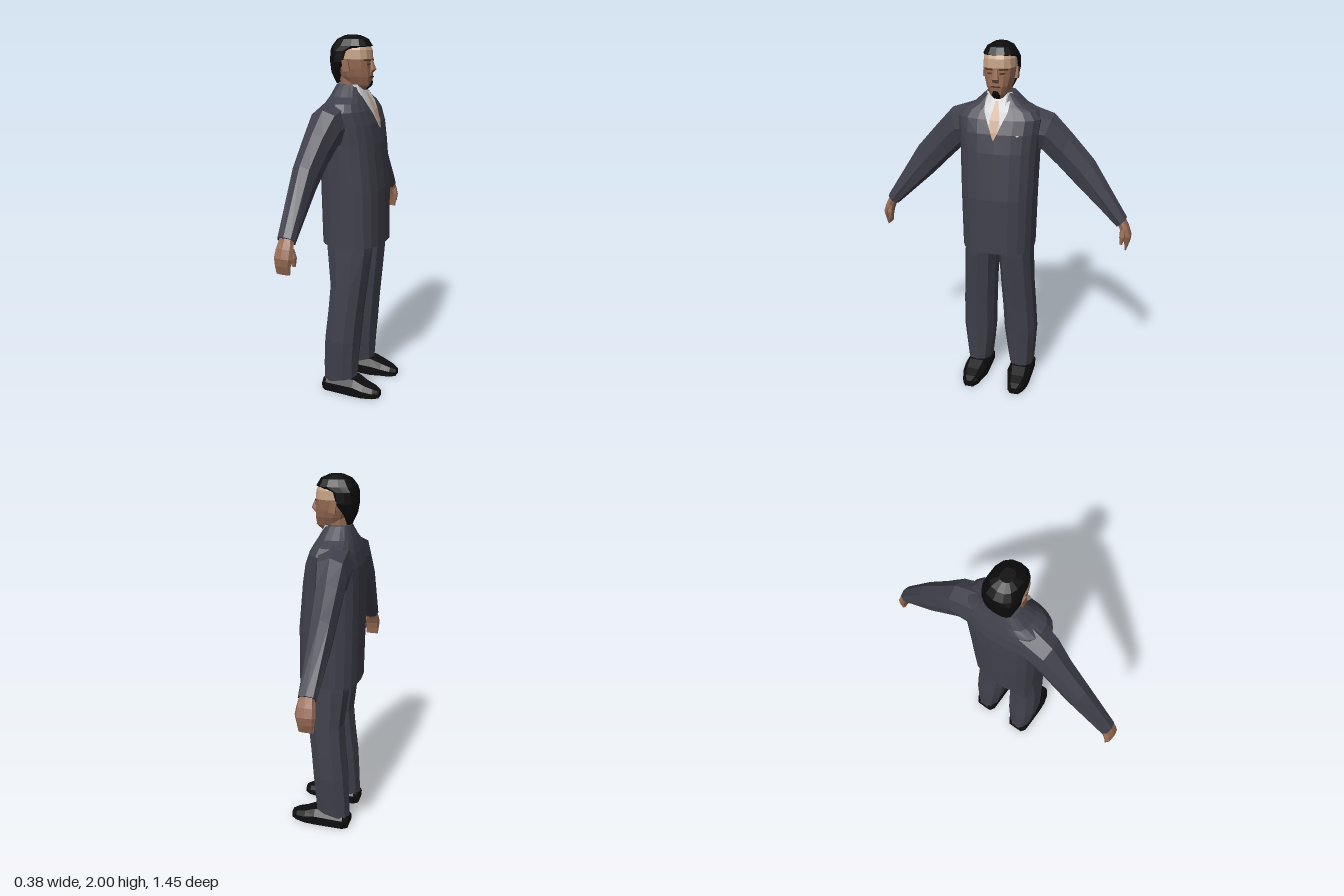
import * as THREE from 'three';

const mat = (name, color) => {
  const m = new THREE.MeshStandardMaterial({ color });
  m.name = name;
  return m;
};

// flat-shaded mesh from a list of triangle corner points
function facets(name, pts, material) {
  const g = new THREE.BufferGeometry().setFromPoints(pts);
  g.computeVertexNormals();
  const mesh = new THREE.Mesh(g, material);
  mesh.name = name;
  return mesh;
}

// closed body through rings of equal point count; corners are ordered outward by signed volume
function loft(name, rings, material) {
  const tris = [], n = rings[0].length;
  for (let i = 0; i < rings.length - 1; i++)
    for (let j = 0; j < n; j++) {
      const k = (j + 1) % n, [a, b] = [rings[i], rings[i + 1]];
      tris.push([a[j], b[j], b[k]], [a[j], b[k], a[k]]);
    }
  const centre = r => r.reduce((s, p) => s.add(p), new THREE.Vector3()).divideScalar(n);
  const first = rings[0], last = rings[rings.length - 1], c0 = centre(first), c1 = centre(last);
  for (let j = 0; j < n; j++) {
    const k = (j + 1) % n;
    tris.push([c0, first[j], first[k]], [c1, last[k], last[j]]);
  }
  const volume = tris.reduce((s, [a, b, c]) => s + a.clone().sub(c0).dot(b.clone().sub(c0).cross(c.clone().sub(c0))), 0);
  return facets(name, tris.flatMap(t => (volume < 0 ? [t[0], t[2], t[1]] : t)), material);
}

const pow = (v, e) => Math.sign(v) * Math.abs(v) ** e;

// horizontal ring from back x, front x and a z range; tilt lifts the front edge
function ring([y, xb, xf, z0, z1, tilt = 0], n, e) {
  return Array.from({ length: n }, (_, i) => {
    const t = (i / n) * Math.PI * 2, c = pow(Math.cos(t), e), s = pow(Math.sin(t), e);
    return new THREE.Vector3((xb + xf) / 2 + c * (xf - xb) / 2, y + tilt * (c + 1) / 2, (z0 + z1) / 2 + s * (z1 - z0) / 2);
  });
}
const body = (name, rows, material, n, e) =>
  loft(name, rows.map(([y, b, f, w]) => ring([y, b, f, -w, w], n, e)), material);

// limb ring from its upper and lower edge point (z, y) and an x range
function limbRing([zt, yt, zb, yb, x0, x1], side, n = 8) {
  return Array.from({ length: n }, (_, i) => {
    const t = (i / n) * Math.PI * 2, c = pow(Math.cos(t), 0.8) / 2, s = pow(Math.sin(t), 0.8) / 2;
    return new THREE.Vector3((x0 + x1) / 2 + s * (x1 - x0), (yt + yb) / 2 + c * (yt - yb), side * ((zt + zb) / 2 + c * (zt - zb)));
  });
}

// x of the front surface of a body at a given y and z
function frontX(rows, e, y, z) {
  let i = 0;
  while (i < rows.length - 2 && rows[i + 1][0] < y) i++;
  const a = rows[i], b = rows[i + 1], t = (y - a[0]) / (b[0] - a[0]);
  const [, back, front, w] = a.map((v, k) => v + (b[k] - v) * t);
  const r = Math.min(1, Math.abs(z) / w);
  return (back + front) / 2 + (front - back) / 2 * (1 - r ** (2 / e)) ** (e / 2);
}

// thin painted panel lying on the front of a body; rows are [y, zMin, zMax], bottom to top
function panel(name, rows, material, on, e, lift, cols = 6) {
  const grid = rows.map(([y, z0, z1]) => Array.from({ length: cols + 1 }, (_, i) => {
    const z = z1 + (z0 - z1) * i / cols;
    return new THREE.Vector3(frontX(on, e, y, z) + lift, y, z);
  }));
  const pts = [];
  for (let i = 0; i < grid.length - 1; i++)
    for (let j = 0; j < cols; j++) {
      const a = grid[i][j], b = grid[i][j + 1], c = grid[i + 1][j + 1], d = grid[i + 1][j];
      pts.push(a, b, c, a, c, d);
    }
  return facets(name, pts, material);
}

export function createModel() {
  const model = new THREE.Group();
  model.name = 'manInSuit';
  const suit = mat('suit charcoal', 0x40404c);
  const skin = mat('skin', 0x966a53);
  const lightSkin = mat('light skin', 0xc4a084);
  const shirt = mat('shirt', 0xc4c4c6);
  const black = mat('hair black', 0x0b0b0b);
  const shoeBlack = mat('shoe black', 0x0d0d0f);
  const dark = mat('feature brown', 0x4d3328);
  const add = (...m) => model.add(...m);

  // jacket: y, back, front, half width
  const jacket = [
    [0.89, -0.185, 0.155, 0.2], [1.2, -0.19, 0.152, 0.206], [1.45, -0.19, 0.127, 0.213],
    [1.55, -0.183, 0.11, 0.222], [1.62, -0.166, 0.084, 0.23], [1.66, -0.152, 0.062, 0.2],
    [1.69, -0.142, 0.045, 0.14], [1.75, -0.118, 0.012, 0.075],
  ];
  add(body('jacket', jacket, suit, 20, 0.75));

  // shirt opening, open chest and pocket square
  const onChest = (name, rows, m, lift) => panel(name, rows, m, jacket, 0.75, lift);
  add(onChest('shirtFront', [[1.53, -0.005, 0.005], [1.6, -0.036, 0.036], [1.66, -0.062, 0.062],
    [1.69, -0.065, 0.065], [1.75, -0.068, 0.068]], shirt, 0.005));
  add(onChest('openChest', [[1.525, -0.004, 0.004], [1.56, -0.017, 0.017], [1.62, -0.027, 0.027],
    [1.66, -0.018, 0.018], [1.71, -0.006, 0.006]], lightSkin, 0.009));
  add(onChest('pocketSquare', [[1.545, -0.127, -0.118], [1.553, -0.132, -0.112]], shirt, 0.006));

  // neck and head
  add(loft('neck', [ring([1.66, -0.1, 0.01, -0.058, 0.058], 10, 0.9), ring([1.74, -0.105, 0.012, -0.054, 0.054], 10, 0.9),
    ring([1.82, -0.11, 0.02, -0.056, 0.056], 10, 0.9)], skin));
  const face = [
    [1.712, -0.035, 0.025, 0.025], [1.745, -0.075, 0.066, 0.046], [1.79, -0.1, 0.072, 0.068],
    [1.83, -0.12, 0.07, 0.08], [1.88, -0.13, 0.07, 0.086],
  ];
  add(body('face', face, skin, 14, 0.85));
  add(body('forehead', [[1.88, -0.13, 0.07, 0.086], [1.925, -0.13, 0.066, 0.084], [1.965, -0.1, 0.045, 0.065]],
    lightSkin, 14, 0.85));
  add(body('hair', [
    [1.755, -0.12, -0.1, 0.045], [1.81, -0.145, -0.078, 0.074], [1.865, -0.156, -0.012, 0.09],
    [1.92, -0.153, 0.0, 0.092], [1.945, -0.147, 0.067, 0.088], [1.98, -0.118, 0.045, 0.068],
    [2.0, -0.075, 0.0, 0.032],
  ], black, 14, 0.85));

  // face details
  const onFace = (name, rows, m, lift = 0.004) => panel(name, rows, m, face, 0.85, lift);
  add(onFace('goatee', [[1.722, -0.016, 0.016], [1.745, -0.022, 0.022], [1.768, -0.012, 0.012]], black, 0.005));
  add(onFace('mouth', [[1.785, -0.026, 0.026], [1.793, -0.022, 0.022]], dark));
  for (const s of [-1, 1]) {
    const span = (y, a, b) => [y, Math.min(s * a, s * b), Math.max(s * a, s * b)];
    add(onFace('brow', [span(1.871, 0.016, 0.062), span(1.879, 0.016, 0.06)], dark));
    add(onFace('eye', [span(1.851, 0.022, 0.044), span(1.859, 0.02, 0.046)], dark));
    const ear = new THREE.Mesh(new THREE.BoxGeometry(0.035, 0.06, 0.016), skin);
    ear.name = 'ear';
    ear.position.set(-0.04, 1.848, s * 0.084);
    ear.rotation.z = 0.15;
    add(ear);
  }
  add(loft('nose', [[1.808, 0.06, 0.075, 0.018], [1.828, 0.06, 0.097, 0.019], [1.875, 0.06, 0.076, 0.009]]
    .map(([y, b, f, w]) => ring([y, b, f, -w, w], 6, 1)), skin));

  for (const s of [-1, 1]) {
    const side = s < 0 ? 'left' : 'right';
    const limb = (name, rows, m) => add(loft(side + name, rows.map(r => limbRing(r, s)), m));

    // sleeve and hand
    limb('Sleeve', [
      [0.13, 1.69, 0.15, 1.42, -0.165, 0.04], [0.28, 1.637, 0.217, 1.435, -0.165, 0.005],
      [0.375, 1.535, 0.305, 1.35, -0.16, -0.02], [0.5, 1.395, 0.415, 1.24, -0.155, -0.035],
      [0.695, 1.09, 0.64, 1.035, -0.132, -0.038],
    ], suit);
    limb('Hand', [
      [0.685, 1.09, 0.645, 1.05, -0.122, -0.045], [0.712, 1.035, 0.664, 1.015, -0.132, -0.036],
      [0.727, 0.99, 0.68, 0.98, -0.135, -0.035], [0.722, 0.95, 0.69, 0.94, -0.13, -0.045],
      [0.707, 0.905, 0.696, 0.905, -0.125, -0.05],
    ], skin);
    limb('Thumb', [
      [0.69, 1.04, 0.665, 1.02, -0.07, -0.036], [0.695, 0.99, 0.665, 0.985, -0.055, -0.026],
      [0.685, 0.945, 0.67, 0.945, -0.052, -0.032],
    ], skin);

    // trouser leg: y, back, front, inner z, outer z, hem tilt
    add(loft(side + 'TrouserLeg', [
      [0.96, -0.145, 0.12, 0.0, 0.188], [0.86, -0.142, 0.117, 0.004, 0.192], [0.65, -0.117, 0.09, 0.016, 0.203],
      [0.5, -0.128, 0.072, 0.024, 0.212], [0.33, -0.147, 0.057, 0.03, 0.22], [0.18, -0.156, 0.047, 0.046, 0.21, 0.02],
      [0.05, -0.16, 0.042, 0.062, 0.2, 0.05],
    ].map(([y, b, f, z0, z1, t]) => ring([y, b, f, s * z0, s * z1, t], 10, 0.8)), suit));

    // shoe: x, inner z, outer z, height
    add(loft(side + 'Shoe', [
      [-0.16, 0.085, 0.18, 0.055], [-0.13, 0.065, 0.2, 0.085], [0.04, 0.064, 0.203, 0.092],
      [0.1, 0.08, 0.2, 0.068], [0.155, 0.092, 0.185, 0.052], [0.188, 0.115, 0.162, 0.038],
    ].map(([x, z0, z1, h]) => {
      const m = (z0 + z1) / 2, w = (z1 - z0) * 0.3;
      return [[0, z0], [0, z1], [h * 0.6, z1], [h, m + w], [h, m - w], [h * 0.6, z0]]
        .map(([y, z]) => new THREE.Vector3(x, y, s * z));
    }), shoeBlack));
  }
  return model;
}
